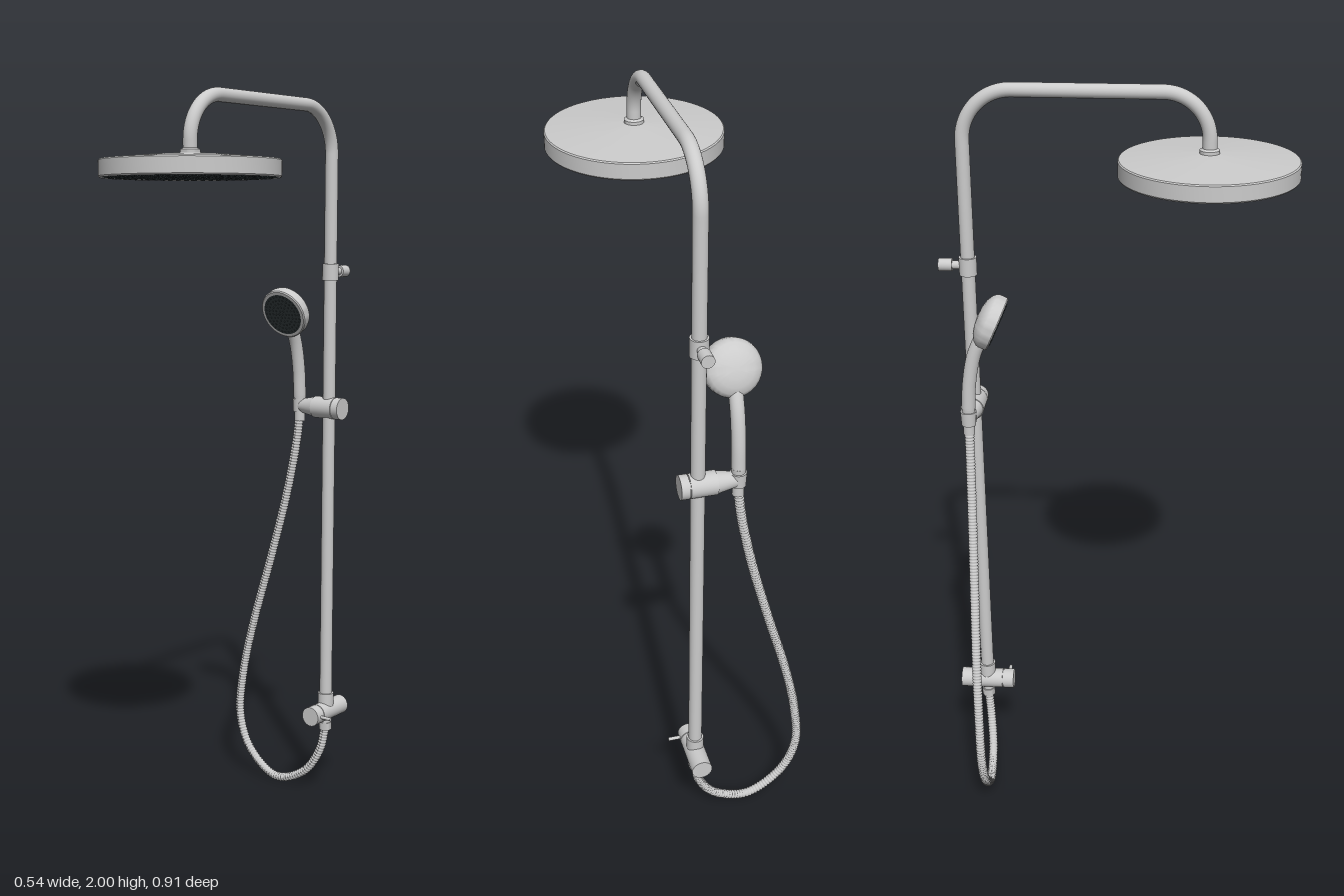
import * as THREE from 'three';
import { toCreasedNormals, mergeGeometries } from 'three/addons/utils/BufferGeometryUtils.js';

const V = (x, y, z) => new THREE.Vector3(x, y, z);
const chrome = new THREE.MeshStandardMaterial({ color: 0xcccccc });
const rubber = new THREE.MeshStandardMaterial({ color: 0x30383a });
const PX = 0.045, PZ = -0.38, HX = -0.057;

function add(parent, name, geo, mat = chrome) {
  const m = new THREE.Mesh(geo, mat);
  m.name = name;
  parent.add(m);
  return m;
}

// Cylinder or cone running from a to b
function rod(parent, name, a, b, ra, rb = ra, sides = 32) {
  const dir = b.clone().sub(a);
  const m = add(parent, name, new THREE.CylinderGeometry(rb, ra, dir.length(), sides));
  m.position.copy(a).addScaledVector(dir, 0.5);
  m.quaternion.setFromUnitVectors(V(0, 1, 0), dir.normalize());
  return m;
}

// Turned part from [radius, height] pairs, lowest first
function turned(parent, name, pts, sides = 64) {
  const g = new THREE.LatheGeometry(pts.map(p => new THREE.Vector2(...p)), sides);
  return add(parent, name, toCreasedNormals(g, 0.5));
}

// Concentric rings of small nozzles standing on y = 0
function nozzles(parent, rings, spacing, r, h) {
  const geos = [];
  for (let k = 0; k <= rings; k++) {
    const n = k ? k * 6 : 1;
    for (let i = 0; i < n; i++) {
      const a = (i / n) * Math.PI * 2;
      geos.push(new THREE.CylinderGeometry(r * 0.7, r, h, 8)
        .translate(Math.cos(a) * k * spacing, h / 2, Math.sin(a) * k * spacing));
    }
  }
  return add(parent, 'nozzles', mergeGeometries(geos), rubber);
}

// Ribbed tube: every ring of vertices is scaled about the centre line
function ribbedTube(curve, radius, ribs) {
  const segs = ribs * 4, sides = 12;
  const g = new THREE.TubeGeometry(curve, segs, radius, sides);
  const p = g.attributes.position, v = V(0, 0, 0);
  for (let i = 0; i <= segs; i++) {
    const c = curve.getPointAt(i / segs);
    const s = [0.84, 1, 1.04, 1][i % 4];
    for (let j = 0; j <= sides; j++) {
      const k = i * (sides + 1) + j;
      v.fromBufferAttribute(p, k).sub(c).multiplyScalar(s).add(c);
      p.setXYZ(k, v.x, v.y, v.z);
    }
  }
  g.computeVertexNormals();
  return g;
}

export function createModel() {
  const root = new THREE.Group();
  root.name = 'showerSet';

  // Riser pipe with its overhead arm
  const arm = new THREE.CurvePath();
  const k = 0.55, top = 1.982, R = 0.125, F = 0.115, fz = 0.228;
  arm.add(new THREE.LineCurve3(V(PX, 0.25, PZ), V(PX, top - R, PZ)));
  arm.add(new THREE.CubicBezierCurve3(V(PX, top - R, PZ), V(PX, top - R * (1 - k), PZ),
    V(PX, top, PZ + R * (1 - k)), V(PX, top, PZ + R)));
  arm.add(new THREE.LineCurve3(V(PX, top, PZ + R), V(PX, top, fz - F)));
  arm.add(new THREE.CubicBezierCurve3(V(PX, top, fz - F), V(PX, top, fz - F * (1 - k)),
    V(PX, top - F * (1 - k), fz), V(PX, top - F, fz)));
  arm.add(new THREE.LineCurve3(V(PX, top - F, fz), V(PX, 1.83, fz)));
  add(root, 'riserPipe', new THREE.TubeGeometry(arm, 260, 0.018, 24));

  // Overhead shower head
  const rain = new THREE.Group();
  rain.name = 'overheadShower';
  rain.position.set(PX, 1.776, fz);
  root.add(rain);
  turned(rain, 'overheadBody', [[0.215, 0.002], [0.222, 0], [0.225, 0.004], [0.225, 0.042],
    [0.222, 0.045], [0.12, 0.054], [0.025, 0.06], [0.025, 0.068], [0.018, 0.072]], 96);
  const face = add(rain, 'overheadFace', new THREE.CircleGeometry(0.218, 96), rubber);
  face.rotation.x = Math.PI / 2;
  face.position.y = 0.0015;
  const jets = nozzles(rain, 10, 0.02, 0.003, 0.003);
  jets.rotation.x = Math.PI;
  jets.position.y = 0.002;

  // Upper wall bracket
  rod(root, 'bracketSleeve', V(PX, 1.51, PZ), V(PX, 1.557, PZ), 0.023);
  rod(root, 'bracketStem', V(PX, 1.535, PZ), V(PX, 1.535, -0.425), 0.011);
  rod(root, 'bracketCap', V(PX, 1.535, -0.42), V(PX, 1.535, -0.455), 0.0165);

  // Diverter valve at the foot of the pipe
  rod(root, 'diverterBody', V(PX, 0.25, -0.335), V(PX, 0.25, -0.455), 0.028);
  rod(root, 'diverterKnob', V(PX, 0.25, -0.302), V(PX, 0.25, -0.333), 0.028);
  rod(root, 'diverterNeck', V(PX, 0.25, -0.33), V(PX, 0.25, -0.338), 0.025);
  rod(root, 'diverterLever', V(PX, 0.25, -0.32), V(0.105, 0.25, -0.32), 0.005, 0.005, 16);
  rod(root, 'pipeNut', V(PX, 0.265, PZ), V(PX, 0.305, PZ), 0.023);
  rod(root, 'outletNeck', V(PX, 0.21, PZ), V(PX, 0.235, PZ), 0.015);
  rod(root, 'outletNut', V(PX, 0.192, PZ), V(PX, 0.215, PZ), 0.019, 0.019, 6);

  // Sliding holder
  rod(root, 'sliderBody', V(0, 1.15, PZ), V(0.068, 1.15, PZ), 0.031);
  rod(root, 'sliderKnob', V(0.07, 1.15, PZ), V(0.092, 1.15, PZ), 0.031);
  rod(root, 'sliderNeck', V(0.06, 1.15, PZ), V(0.08, 1.15, PZ), 0.028);
  rod(root, 'holderArm', V(0, 1.15, PZ), V(HX, 1.15, PZ), 0.029, 0.018);
  rod(root, 'holderRing', V(HX, 1.132, PZ), V(HX, 1.17, PZ), 0.019, 0.021);

  // Hand shower handle and hose nut
  const handle = new THREE.CatmullRomCurve3([V(HX, 1.18, -0.379), V(HX, 1.25, -0.374),
    V(HX, 1.33, -0.358), V(HX, 1.40, -0.327)]);
  add(root, 'handle', new THREE.TubeGeometry(handle, 32, 0.018, 24));
  rod(root, 'handleEnd', V(HX, 1.12, PZ), V(HX, 1.183, -0.379), 0.014, 0.018);
  rod(root, 'hoseNut', V(HX, 1.105, PZ), V(HX, 1.135, PZ), 0.015);

  // Hand shower head, tilted down and forward
  const hand = new THREE.Group();
  hand.name = 'handShower';
  hand.position.set(HX, 1.415, -0.294);
  hand.rotation.x = 1.99;
  root.add(hand);
  turned(hand, 'handBody', [[0, -0.055], [0.025, -0.053], [0.046, -0.048], [0.062, -0.039],
    [0.07, -0.03], [0.072, -0.023], [0.072, -0.003], [0.069, 0], [0.06, 0]]);
  const handFace = add(hand, 'handFace', new THREE.CircleGeometry(0.061, 48), rubber);
  handFace.rotation.x = -Math.PI / 2;
  handFace.position.y = 0.0008;
  nozzles(hand, 5, 0.011, 0.0025, 0.003);

  // Ribbed hose looping from the hand shower down to the diverter
  const hose = new THREE.CatmullRomCurve3([[-0.057, 1.13, -0.38], [-0.066, 1.05, -0.379],
    [-0.098, 0.89, -0.376], [-0.15, 0.695, -0.371], [-0.212, 0.48, -0.365], [-0.247, 0.32, -0.36],
    [-0.256, 0.177, -0.357], [-0.214, 0.077, -0.355], [-0.118, 0.0135, -0.356],
    [-0.02, 0.05, -0.363], [0.03, 0.125, -0.373], [0.045, 0.2, -0.38]].map(p => V(...p)));
  add(root, 'hose', ribbedTube(hose, 0.0125, 170));

  return root;
}
